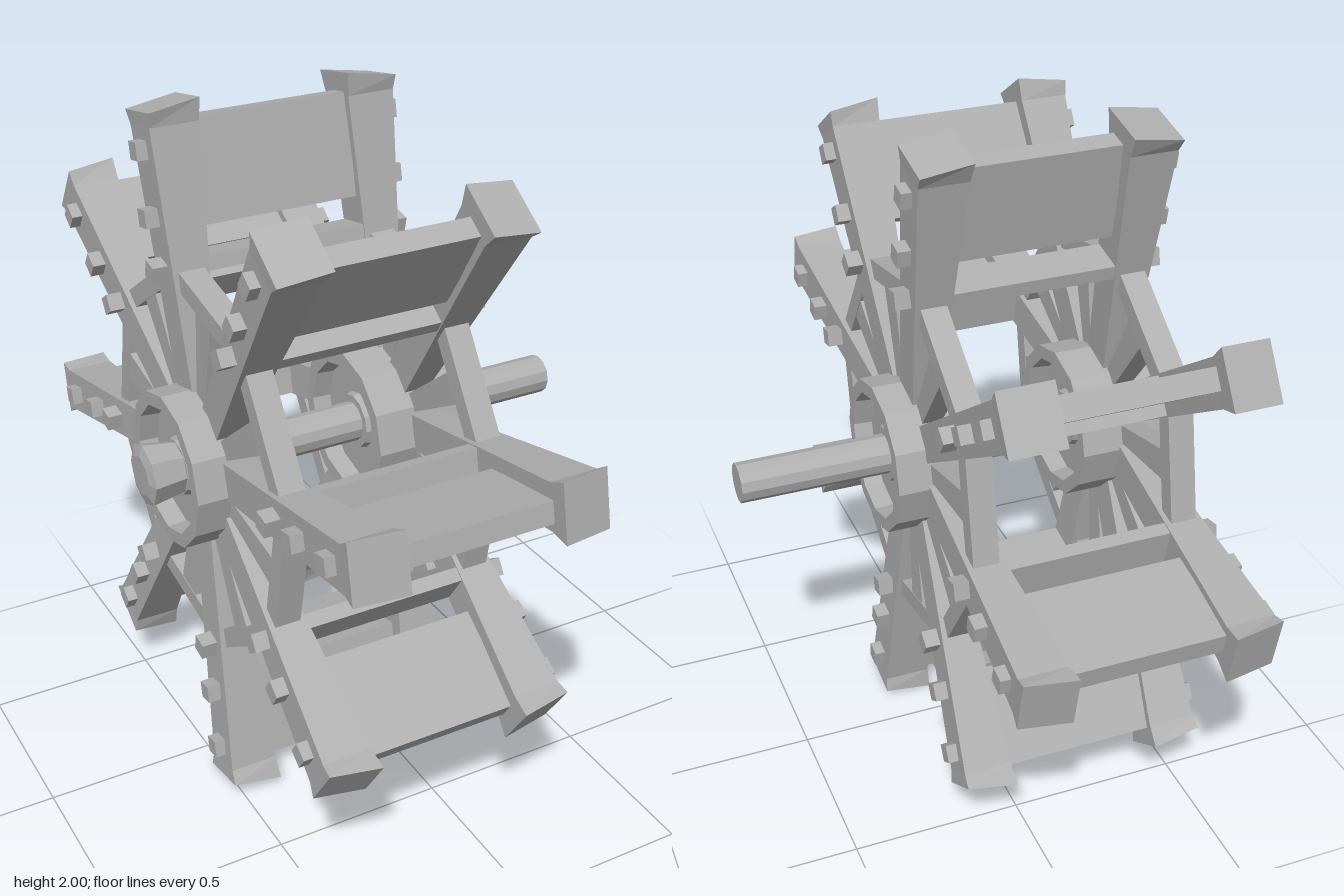
import * as THREE from 'three';

const CX = -0.167;          // middle plane of the wheel
const SIDE = 0.292;         // distance of each spoke row from that plane
const START = THREE.MathUtils.degToRad(-11);
const STEP = Math.PI / 4;

const mat = new THREE.MeshStandardMaterial({ color: 0xb0b0b0, flatShading: true });
mat.name = 'plain grey';

function part(name, geo, parent, x = 0, y = 0, z = 0) {
  const m = new THREE.Mesh(geo, mat);
  m.name = name;
  m.position.set(x, y, z);
  parent.add(m);
  return m;
}

// Beam along y made of stacked sections [radius, half depth x, half width z]
function taperedBeam(sections) {
  const n = sections.length - 1;
  const geo = new THREE.BoxGeometry(2, 1, 2, 1, n, 1);
  const p = geo.attributes.position;
  for (let i = 0; i < p.count; i++) {
    const k = Math.round((p.getY(i) + 0.5) * n);
    const [r, hx, hz] = sections[k];
    p.setXYZ(i, p.getX(i) * hx, r, p.getZ(i) * hz);
  }
  geo.computeVertexNormals();
  return geo;
}

// Main spoke with a flared tip whose end slopes down towards the outside
function spokeGeometry(s) {
  const geo = taperedBeam([[0.18, 0.038, 0.052], [0.94, 0.07, 0.066], [1.003, 0.073, 0.083]]);
  const p = geo.attributes.position;
  for (let i = 0; i < p.count; i++) {
    if (p.getY(i) > 1 && p.getX(i) * s > 0) p.setY(i, 0.98);
  }
  return geo;
}

export function createModel() {
  const model = new THREE.Group();
  model.name = 'waterWheel';
  const wheel = new THREE.Group();
  wheel.name = 'wheel';
  wheel.position.set(CX, 1, 0);
  model.add(wheel);

  // Hub drum, hollowed on both faces, with a collar round the axle
  const half = [[0.225, 0.14], [0.185, 0.14], [0.18, 0.085], [0.085, 0.085], [0.08, 0.105], [0, 0.105]];
  const profile = [
    ...half.slice().reverse().map(([r, y]) => new THREE.Vector2(r, -y)),
    ...half.map(([r, y]) => new THREE.Vector2(r, y)),
  ];
  const hubGeo = new THREE.LatheGeometry(profile, 12).rotateZ(-Math.PI / 2);

  const midSpokeGeo = taperedBeam([[0.17, 0.028, 0.024], [0.495, 0.036, 0.046]]);
  const ringGeo = new THREE.BoxGeometry(0.075, 0.055, 0.42);
  const boltGeo = new THREE.BoxGeometry(0.06, 0.05, 0.05);
  const paddleGeo = new THREE.BoxGeometry(0.46, 0.29, 0.062);
  const crossGeo = new THREE.BoxGeometry(0.5, 0.042, 0.11);

  // Two side frames
  for (const s of [-1, 1]) {
    const frame = new THREE.Group();
    frame.name = s > 0 ? 'leftFrame' : 'rightFrame';
    wheel.add(frame);
    part('hub', hubGeo, frame, s * 0.28);
    const spokeGeo = spokeGeometry(s);
    for (let k = 0; k < 8; k++) {
      const arm = new THREE.Group();
      arm.name = 'arm';
      arm.rotation.x = START + k * STEP;
      frame.add(arm);
      part('spoke', spokeGeo, arm, s * SIDE);
      for (const r of [0.555, 0.70, 0.88]) {
        const bolt = part('bolt', boltGeo, arm, s * 0.36, r, 0);
        if (r < 0.6) bolt.rotation.x = STEP / 2;
      }
      // Ring bar and thin spoke midway to the next arm
      const between = new THREE.Group();
      between.name = 'brace';
      between.rotation.x = START + (k + 0.5) * STEP;
      frame.add(between);
      part('ringBar', ringGeo, between, s * SIDE, 0.505, 0);
      part('thinSpoke', midSpokeGeo, between, s * SIDE);
    }
  }

  // Paddles and cross bars joining the frames
  for (let k = 0; k < 8; k++) {
    const blade = new THREE.Group();
    blade.name = 'blade';
    blade.rotation.x = START + k * STEP;
    wheel.add(blade);
    part('paddle', paddleGeo, blade, 0, 0.805, 0.01);
    part('crossBar', crossGeo, blade, 0, 0.56, 0);
  }

  // Axle and its end nut
  const axle = new THREE.CylinderGeometry(0.058, 0.058, 1.26, 12).rotateZ(-Math.PI / 2);
  part('axle', axle, model, 0.025, 1, 0);
  const nut = new THREE.CylinderGeometry(0.075, 0.092, 0.1, 8).rotateZ(-Math.PI / 2);
  part('axleNut', nut, model, -0.6, 1, 0);
  const nutCap = new THREE.CylinderGeometry(0.092, 0.06, 0.01, 8).rotateZ(-Math.PI / 2);
  part('nutCap', nutCap, model, -0.655, 1, 0);

  return model;
}
